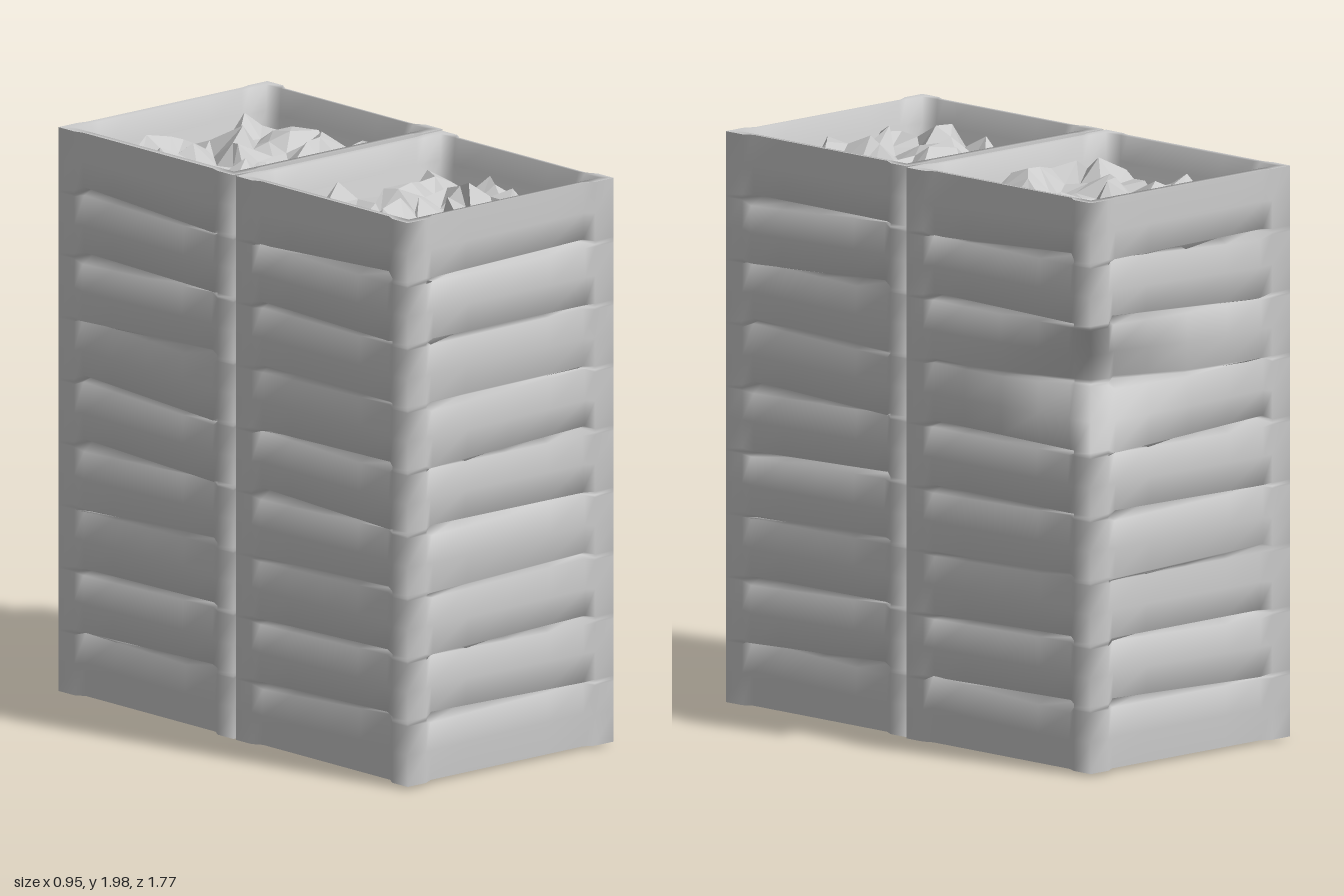
import * as THREE from 'three';

const material = new THREE.MeshStandardMaterial({ color: 0xcccccc, side: THREE.DoubleSide });
const flatMaterial = new THREE.MeshStandardMaterial({ color: 0xcccccc, side: THREE.DoubleSide, flatShading: true });

// Repeatable noise from 0 to 1
const seeded = (seed) => () => {
  seed = (seed * 16807) % 2147483647;
  return seed / 2147483647;
};

// Skin over closed rings of points, listed from bottom to top
function loft(rings) {
  const n = rings[0].length;
  const index = [];
  for (let r = 0; r < rings.length - 1; r++) {
    for (let i = 0; i < n; i++) {
      const a = r * n + i, b = r * n + (i + 1) % n;
      index.push(a, b, b + n, a, b + n, a + n);
    }
  }
  const geometry = new THREE.BufferGeometry();
  geometry.setAttribute('position', new THREE.Float32BufferAttribute(rings.flat(2), 3));
  geometry.setIndex(index);
  geometry.computeVertexNormals();
  return geometry;
}

// Rectangular ring, starting at +x +z; rule(side, u) returns [inset, change in y]
const steps = [0, 0.09, 0.13, 0.3, 0.5, 0.7, 0.87, 0.91];
function ring(hx, hz, y, rule = () => [0, 0]) {
  const corners = [[hx, hz], [hx, -hz], [-hx, -hz], [-hx, hz]];
  const normals = [[1, 0], [0, -1], [-1, 0], [0, 1]];
  const points = [];
  for (let s = 0; s < 4; s++) {
    const [ax, az] = corners[s], [bx, bz] = corners[(s + 1) % 4];
    for (const u of steps) {
      const [inset, dy] = rule(s, u);
      points.push([
        ax + (bx - ax) * u - normals[s][0] * inset,
        y + dy,
        az + (bz - az) * u - normals[s][1] * inset,
      ]);
    }
  }
  return points;
}

function add(group, name, geometry, mat = material) {
  const mesh = new THREE.Mesh(geometry, mat);
  mesh.name = name;
  group.add(mesh);
}

// Three crates high, three slats per crate, with narrow gaps between the slats
function crateWalls(hx, hz, random, notched) {
  const rings = [];
  const slat = 1.97 / 9;
  for (let k = 0; k < 9; k++) {
    const y0 = 0.015 + k * slat;
    const tilt = [0, 1, 2, 3].map(() => (random() - 0.5) * 0.05);
    const sag = [0, 1, 2, 3].map(() => 0.008 + random() * 0.015);
    const joint = k % 3 === 0;
    const row = (y, depth, skew) => {
      const r = ring(hx, hz, y, (s, u) => {
        const onSlat = u > 0.1 && u < 0.9;
        return [onSlat ? sag[s] + depth : 0, onSlat ? tilt[s] * skew * (u - 0.5) * 2 : 0];
      });
      // Worn-in rear corner between the upper two crates
      if (notched) {
        const amount = Math.max(0, 1 - Math.abs(y - 1.36) / 0.19) * 0.14;
        for (const p of r) {
          const distance = Math.hypot(p[0] - hx, p[2] + hz);
          const pull = amount * Math.max(0, 1 - distance / 0.5);
          p[0] -= pull;
          p[2] += pull;
        }
      }
      return r;
    };
    if (k > 0) rings.push(row(y0, joint ? 0.025 : 0.045, 1));
    rings.push(row(y0 + (k ? 0.012 : 0), 0, k ? 1 : 0));
    rings.push(row(y0 + slat * 0.5, -0.004, 0.5));
    rings.push(row(y0 + slat - (k < 8 ? 0.008 : 0), 0, k < 8 ? 1 : 0));
  }
  return rings;
}

// Jagged heap of goods filling the open top
function heap(width, depth, random) {
  const cells = 9;
  const geometry = new THREE.PlaneGeometry(width, depth, cells, cells);
  geometry.rotateX(-Math.PI / 2);
  const position = geometry.attributes.position;
  for (let i = 0; i < position.count; i++) {
    const col = i % (cells + 1), row = Math.floor(i / (cells + 1));
    const edge = Math.min(col, row, cells - col, cells - row);
    if (edge === 0) {
      position.setY(i, 1.82);
      continue;
    }
    position.setX(i, position.getX(i) + (random() - 0.5) * 0.06);
    position.setZ(i, position.getZ(i) + (random() - 0.5) * 0.06);
    position.setY(i, 1.83 + Math.min(edge, 2) * 0.02 + random() ** 1.5 * 0.1);
  }
  geometry.computeVertexNormals();
  return geometry;
}

function crateStack(name, hx, hz, seed, notched) {
  const stack = new THREE.Group();
  stack.name = name;
  const random = seeded(seed);
  const walls = crateWalls(hx, hz, random, notched);
  add(stack, 'slattedWalls', loft(walls));
  // Rim and the sloping inside of the top crate
  add(stack, 'rimAndLining', loft([
    walls[walls.length - 1],
    ring(hx - 0.035, hz - 0.035, 1.985),
    ring(hx - 0.055, hz - 0.055, 1.9),
    ring(hx - 0.085, hz - 0.085, 1.8),
  ]));
  // Closed bottom
  add(stack, 'base', loft([ring(0, 0, 0.005), walls[0]]));
  add(stack, 'contents', heap((hx - 0.075) * 2, (hz - 0.075) * 2, random), flatMaterial);
  return stack;
}

export function createModel() {
  const model = new THREE.Group();
  model.name = 'crateStacks';
  const front = crateStack('frontStack', 0.468, 0.436, 41, false);
  front.position.set(-0.008, 0, 0.442);
  const back = crateStack('backStack', 0.475, 0.444, 977, true);
  back.position.set(0, 0, -0.452);
  model.add(front, back);
  return model;
}
